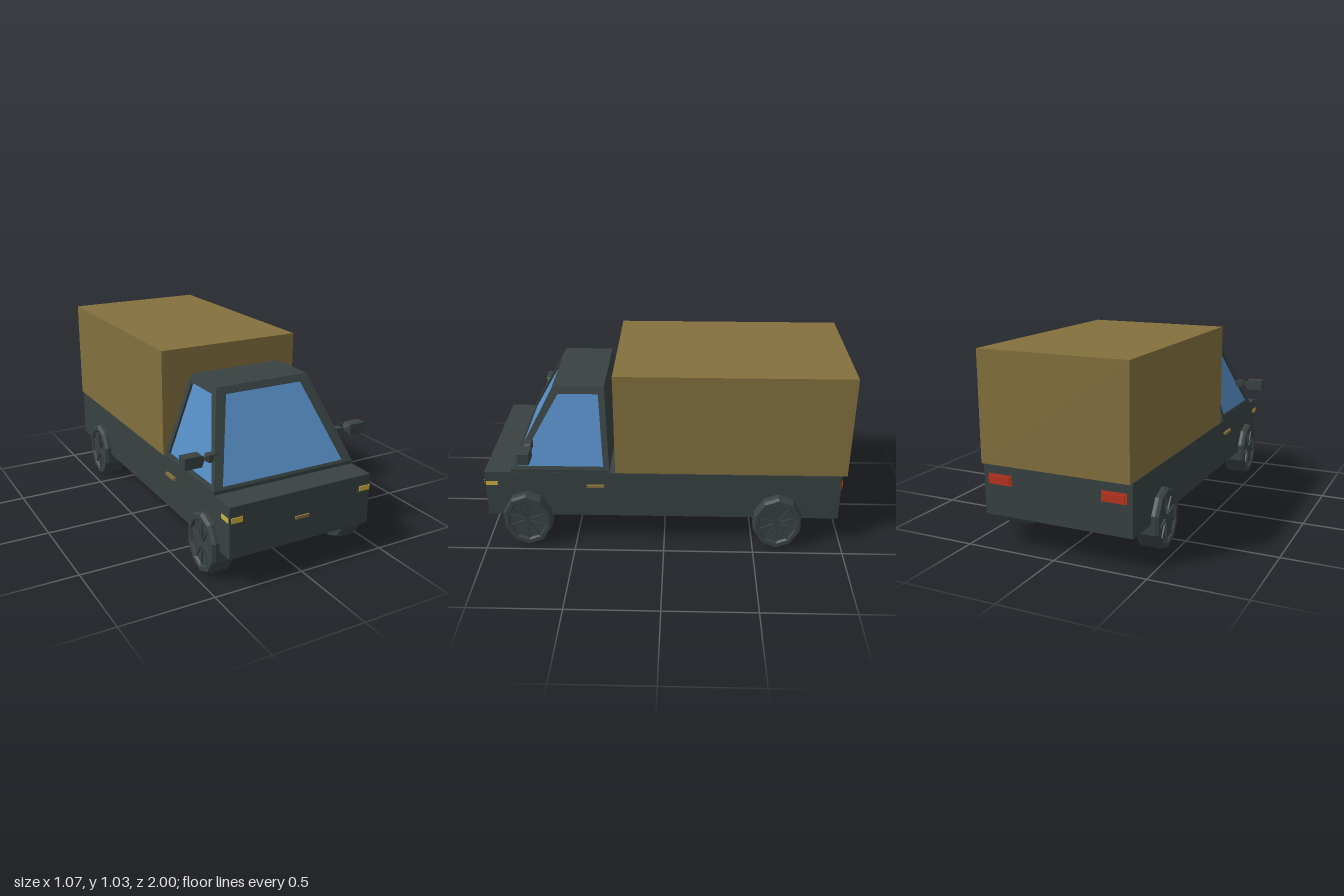
import * as THREE from 'three';

const mat = (name, color, side = THREE.FrontSide) => {
  const m = new THREE.MeshStandardMaterial({ color, side });
  m.name = name;
  return m;
};

export function createModel() {
  const paint = mat('dark grey', 0x384241);
  const canvas = mat('tan', 0x83703d);
  const glass = mat('window blue', 0x548bc2);
  const yellow = mat('lamp yellow', 0xd0b13c);
  const red = mat('lamp red', 0xb8341f);

  const truck = new THREE.Group();
  truck.name = 'truck';

  const add = (name, geo, m, parent = truck) => {
    const mesh = new THREE.Mesh(geo, m);
    mesh.name = name;
    parent.add(mesh);
    return mesh;
  };
  // Box given by its extents
  const box = (name, m, x0, x1, y0, y1, z0, z1) =>
    add(name, new THREE.BoxGeometry(Math.abs(x1 - x0), y1 - y0, z1 - z0), m)
      .position.set((x0 + x1) / 2, (y0 + y1) / 2, (z0 + z1) / 2);
  // Flat shaded surface from counter-clockwise quads
  const quads = (list) => {
    const pts = list.flatMap(([a, b, c, d]) => [a, b, c, a, c, d]);
    const geo = new THREE.BufferGeometry().setFromPoints(pts);
    geo.computeVertexNormals();
    return geo;
  };

  // Lower body and cargo cover
  box('body', paint, -0.418, 0.408, 0.175, 0.45, -0.972, 0.99);
  box('cargoCover', canvas, -0.415, 0.403, 0.45, 1.028, -1, 0.268);

  // Cab corners: [half width, y, front z, rear z]
  const v = (x, y, z) => new THREE.Vector3(x - 0.006, y, z);
  const ring = (w, y, zf, zr) => [v(-w, y, zf), v(w, y, zf), v(w, y, zr), v(-w, y, zr)];
  const base = ring(0.413, 0.449, 0.84, 0.3);
  const sill = ring(0.413, 0.468, 0.84, 0.3);
  const roof = ring(0.27, 0.904, 0.602, 0.326);
  const shell = [roof, [sill[3], sill[2], roof[2], roof[3]].reverse()];
  shell[1] = [sill[2], sill[3], roof[3], roof[2]];
  for (let i = 0; i < 4; i++) {
    const j = (i + 1) % 4;
    shell.push([base[i], base[j], sill[j], sill[i]]);
  }
  add('cabShell', quads(shell), paint);

  // Tilted cab wall with a recessed window; uv lists the window corners
  const windowWall = (name, [a, b, c, d], uv) => {
    const outer = [a, b, c, d];
    const inner = uv.map(([s, t]) =>
      a.clone().lerp(b, s).lerp(d.clone().lerp(c, s), t));
    const n = b.clone().sub(a).cross(d.clone().sub(a)).normalize();
    const deep = inner.map((p) => p.clone().addScaledVector(n, -0.012));
    const frame = [];
    for (let i = 0; i < 4; i++) {
      const j = (i + 1) % 4;
      frame.push([outer[i], outer[j], inner[j], inner[i]]);
      frame.push([inner[i], inner[j], deep[j], deep[i]]);
    }
    add(name + 'Frame', quads(frame), paint);
    add(name + 'Glass', quads([deep]), glass);
  };
  windowWall('windshield', [sill[0], sill[1], roof[1], roof[0]],
    [[0.06, 0.03], [0.94, 0.03], [0.9, 0.925], [0.1, 0.925]]);
  windowWall('leftWindow', [sill[1], sill[2], roof[2], roof[1]],
    [[0.05, 0.04], [0.94, 0.04], [0.88, 0.915], [0.15, 0.915]]);
  windowWall('rightWindow', [sill[3], sill[0], roof[0], roof[3]],
    [[0.06, 0.04], [0.95, 0.04], [0.85, 0.915], [0.12, 0.915]]);

  // Front badge plate
  box('frontPlate', canvas, -0.047, 0.033, 0.302, 0.318, 0.985, 1);

  // Flat shaded ten-sided wheel, dished on the outside
  const tyreProfile = [[0, -0.063], [0.155, -0.063], [0.165, -0.052], [0.165, 0.045],
    [0.155, 0.063], [0.13, 0.063], [0.122, 0.05], [0.03, 0.044], [0, 0.044]]
    .map(([r, y]) => new THREE.Vector2(r, y));
  const tyre = new THREE.LatheGeometry(tyreProfile, 10, Math.PI / 2).toNonIndexed();
  tyre.computeVertexNormals();
  tyre.rotateZ(-Math.PI / 2);
  const wheel = (name, side, z) => {
    const g = new THREE.Group();
    g.name = name;
    add('tyre', tyre, paint, g);
    for (let i = 0; i < 5; i++) {
      const spoke = add('spoke', new THREE.BoxGeometry(0.012, 0.25, 0.012), paint, g);
      spoke.position.x = 0.05;
      spoke.rotation.x = (i * Math.PI) / 5;
    }
    g.position.set(side * 0.397 + 0.004, 0.166, z);
    g.scale.z = 0.84;
    g.rotation.y = side > 0 ? 0 : Math.PI;
    truck.add(g);
  };

  // Square tapered bar lying along x, r0 inside and r1 outside
  const bar = (name, parent, s, x0, x1, r0, r1) => {
    const k = Math.SQRT2;
    const geo = new THREE.CylinderGeometry(r1 * k, r0 * k, x1 - x0, 4).toNonIndexed();
    geo.rotateY(Math.PI / 4);
    geo.computeVertexNormals();
    geo.rotateZ((-s * Math.PI) / 2);
    add(name, geo, paint, parent).position.x = (s * (x0 + x1)) / 2;
  };

  for (const s of [-1, 1]) {
    const side = s > 0 ? 'left' : 'right';
    const X = (x) => s * x - 0.006;
    wheel(side + 'FrontWheel', s, 0.763);
    wheel(side + 'RearWheel', s, -0.632);

    // Door handle
    box(side + 'Handle', canvas, X(0.405), X(0.428), 0.363, 0.378, 0.33, 0.428);

    // Headlamp wrapped around the corner, in a dark surround
    box(side + 'HeadlampSurround', paint, X(0.335), X(0.416), 0.362, 0.398, 0.912, 0.994);
    box(side + 'Headlamp', yellow, X(0.344), X(0.408), 0.367, 0.394, 0.95, 0.998);
    box(side + 'HeadlampSide', yellow, X(0.38), X(0.419), 0.369, 0.393, 0.92, 0.985);

    // Tail lamp
    box(side + 'TailLamp', red, X(0.25), X(0.385), 0.342, 0.395, -0.98, -0.965);
    box(side + 'TailLampLens', red, X(0.26), X(0.375), 0.35, 0.387, -0.988, -0.975);

    // Wing mirror on a waisted arm
    const mirror = new THREE.Group();
    mirror.name = side + 'Mirror';
    mirror.position.set(0, 0.605, 0.738);
    bar('mirrorArm', mirror, s, 0.34, 0.4, 0.02, 0.02);
    bar('mirrorNeck', mirror, s, 0.4, 0.421, 0.02, 0.007);
    bar('mirrorFlare', mirror, s, 0.421, 0.443, 0.007, 0.029);
    bar('mirrorHousing', mirror, s, 0.443, 0.537, 0.03, 0.03);
    truck.add(mirror);
  }
  return truck;
}
